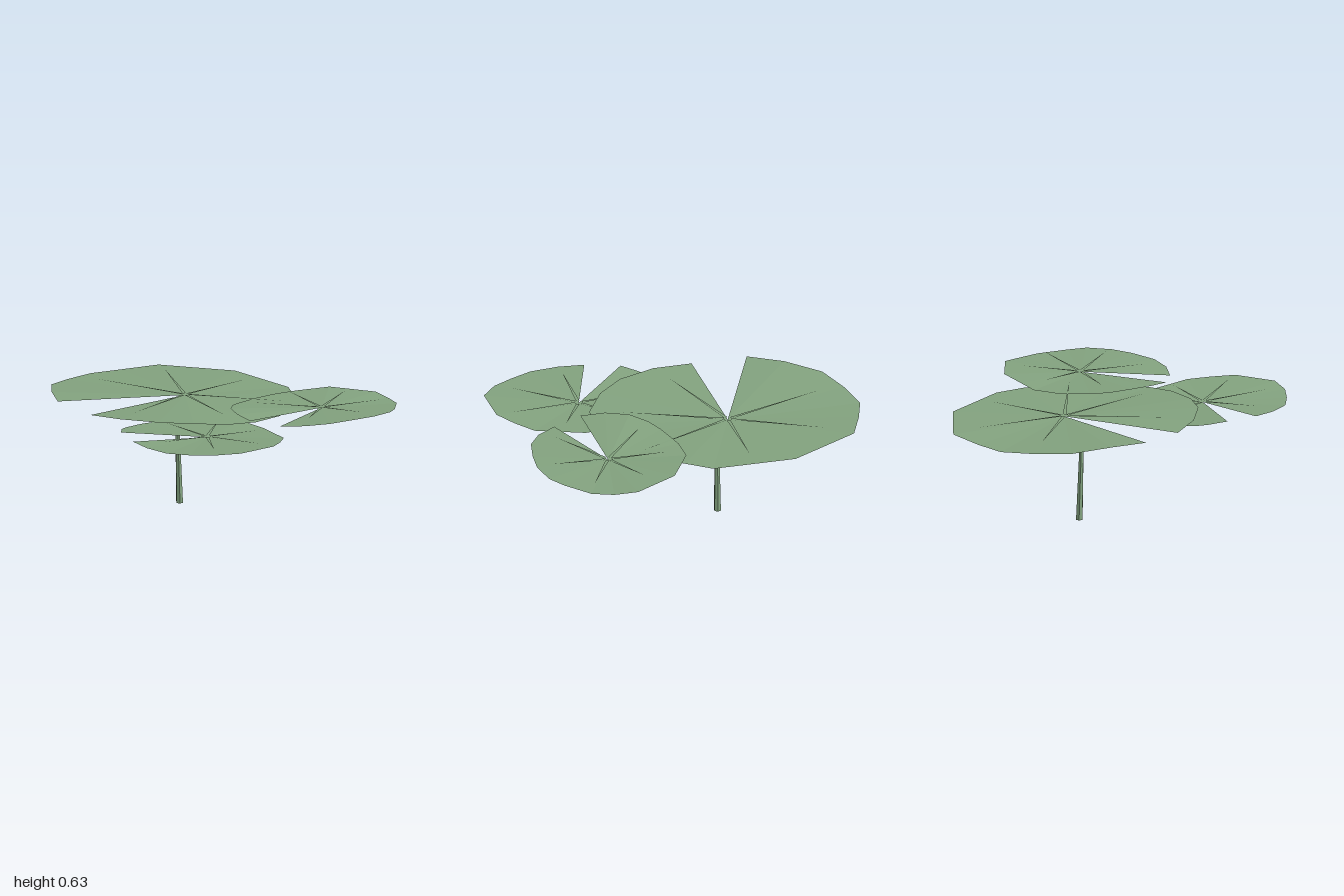
import * as THREE from 'three';

const leafGreen = new THREE.MeshStandardMaterial({ color: 0x84a480, flatShading: true, side: THREE.DoubleSide });
leafGreen.name = 'leaf green';

// Flat-faced surface from a list of triangles, each three [x, y, z] corners
function surface(triangles, name) {
  const geometry = new THREE.BufferGeometry();
  geometry.setAttribute('position', new THREE.Float32BufferAttribute(triangles.flat(2), 3));
  geometry.computeVertexNormals();
  const mesh = new THREE.Mesh(geometry, leafGreen);
  mesh.name = name;
  return mesh;
}

// Notched pad: a shallow fan from its centre, with tapering veins on top.
// rim runs counter-clockwise from above, as [x, z, height]; tips are [x, z].
function pad(name, [cx, cy, cz], rim, tips, rise) {
  const group = new THREE.Group();
  group.name = name;
  const centre = [cx, cy, cz];
  const edge = rim.map(([x, z, y]) => [x, y, z]);
  group.add(surface(edge.slice(1).map((p, i) => [centre, edge[i], p]), name + 'Blade'));

  const veins = tips.map(([x, z]) => {
    const length = Math.hypot(x - cx, z - cz);
    const dx = (x - cx) / length, dz = (z - cz) / length;
    const bx = cx + dx * 0.02, bz = cz + dz * 0.02, w = 0.01, y = cy + 0.005;
    return [[bx + dz * w, y, bz - dx * w], [bx - dz * w, y, bz + dx * w], [x, cy + rise, z]];
  });
  group.add(surface(veins, name + 'Veins'));
  return group;
}

export function createModel() {
  const model = new THREE.Group();
  model.name = 'lilyPads';

  // Large pad above the stem
  model.add(pad('largePad', [-0.25, 0.585, -0.02], [
    [-0.18, 0.675, 0.585], [0.04, 0.635, 0.597], [0.245, 0.53, 0.603], [0.38, 0.39, 0.6],
    [0.475, 0.205, 0.59], [0.49, 0.05, 0.583], [0.45, -0.14, 0.583], [0.32, -0.35, 0.588],
    [0.08, -0.505, 0.59], [-0.065, -0.585, 0.585], [-0.525, -0.565, 0.592], [-0.895, -0.32, 0.59],
    [-0.96, -0.115, 0.58], [-1, 0.06, 0.576], [-0.945, 0.255, 0.582], [-0.86, 0.435, 0.592],
    [-0.675, 0.57, 0.605], [-0.485, 0.67, 0.602],
  ], [[-0.285, -0.48], [0.27, -0.33], [0.31, 0.135], [-0.015, 0.5], [-0.8, 0.195], [-0.745, -0.25]], 0.02));

  // Upper pad at the back
  model.add(pad('backPad', [0.485, 0.6, -0.4], [
    [0.7, 0.045, 0.598], [0.805, -0.05, 0.607], [0.87, -0.17, 0.615], [0.89, -0.33, 0.62],
    [0.89, -0.46, 0.62], [0.85, -0.6, 0.617], [0.78, -0.68, 0.61], [0.65, -0.79, 0.602],
    [0.53, -0.825, 0.602], [0.4, -0.835, 0.612], [0.17, -0.69, 0.617], [0.1, -0.53, 0.606],
    [0.055, -0.42, 0.596], [0.07, -0.275, 0.596], [0.135, -0.105, 0.604], [0.19, -0.015, 0.613],
    [0.28, 0.065, 0.623], [0.405, 0.115, 0.621], [0.54, 0.125, 0.61],
  ], [[0.62, -0.72], [0.81, -0.45], [0.33, -0.68], [0.155, -0.42], [0.245, -0.095], [0.73, -0.135]], 0.028));

  // Lower pad at the front, partly beneath the large one
  model.add(pad('frontPad', [0.5, 0.55, 0.39], [
    [0.39, 0.81, 0.563], [0.535, 0.825, 0.557], [0.69, 0.805, 0.553], [0.81, 0.735, 0.556],
    [0.92, 0.65, 0.564], [1, 0.53, 0.573], [0.975, 0.29, 0.574], [0.895, 0.185, 0.567],
    [0.8, 0.09, 0.56], [0.53, 0.025, 0.554], [0.35, 0.04, 0.563], [0.2, 0.11, 0.566],
    [0.09, 0.22, 0.558], [0.03, 0.36, 0.547], [0.025, 0.49, 0.547], [0.07, 0.625, 0.555],
    [0.11, 0.68, 0.561], [0.2, 0.75, 0.57],
  ], [[0.62, 0.12], [0.885, 0.305], [0.835, 0.59], [0.53, 0.73], [0.16, 0.425], [0.3, 0.16]], 0.024));

  // Tapered six-sided stem, leaning slightly forward
  const stemGeometry = new THREE.CylinderGeometry(0.011, 0.02, 0.525, 6);
  stemGeometry.translate(0, 0.2625, 0);
  const pos = stemGeometry.attributes.position;
  for (let i = 0; i < pos.count; i++) pos.setZ(i, pos.getZ(i) + pos.getY(i) * 0.035);
  stemGeometry.computeVertexNormals();
  const stem = new THREE.Mesh(stemGeometry, leafGreen);
  stem.name = 'stem';
  stem.position.set(-0.206, 0, 0.049);
  model.add(stem);

  return model;
}
